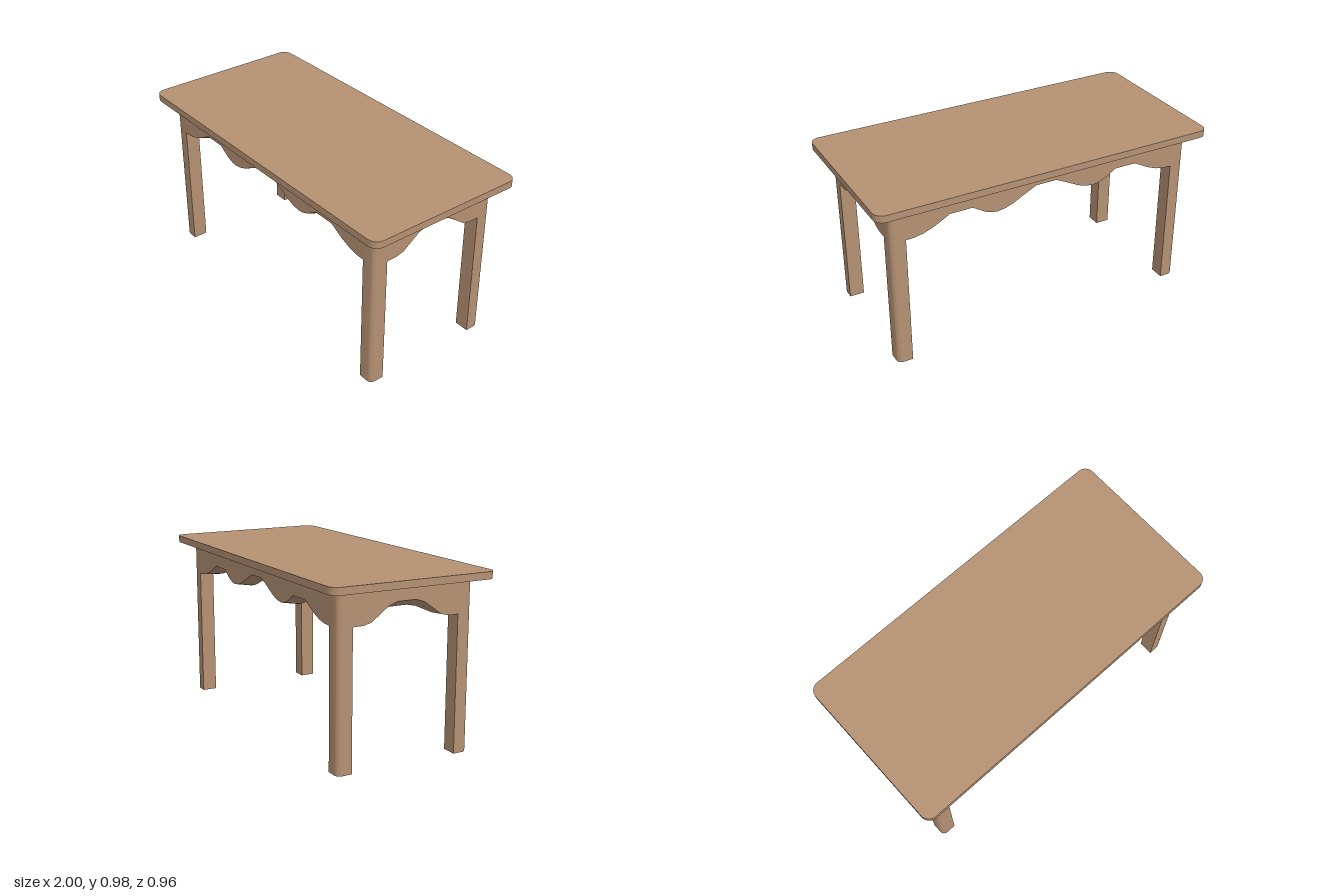
import * as THREE from 'three';
import { toCreasedNormals } from 'three/addons/utils/BufferGeometryUtils.js';

const UNDER = 0.942, TOP = 0.982;          // table top heights
const OX = 0.905, OZ = 0.397, LEG = 0.085; // outer frame half sizes, leg width

// Rectangle centred on the origin, with a radius per corner (++, -+, --, +-)
function roundedRect(w, h, [a, b, c, d]) {
  const x = w / 2, y = h / 2, s = new THREE.Shape();
  const arc = (cx, cy, r, start) => {
    if (r) s.absarc(cx, cy, r, start, start + Math.PI / 2, false);
    else s.lineTo(cx, cy);
  };
  s.moveTo(x, -y + d);
  arc(x - a, y - a, a, 0);
  arc(-x + b, y - b, b, Math.PI / 2);
  arc(-x + c, -y + c, c, Math.PI);
  arc(x - d, -y + d, d, Math.PI * 1.5);
  return s;
}

// Upright prism standing on y = 0
function prism(shape, height) {
  const g = new THREE.ExtrudeGeometry(shape, { depth: height, bevelEnabled: false, curveSegments: 8 });
  g.rotateX(-Math.PI / 2);
  return toCreasedNormals(g, 0.6);
}

// Scalloped apron along x, facing +z; half profile rows are [x, outer lower y, inner lower y]
function apron(half, outer) {
  const rows = [...half.map(([x, o, i]) => [-x, o, i]), ...[...half].reverse()];
  const inner = outer - LEG, pos = [], index = [];
  rows.forEach(([x, yo, yi], r) => {
    pos.push(x, UNDER, outer, x, yo, outer, x, yi, inner, x, UNDER, inner);
    if (r === rows.length - 1) return;
    for (let j = 0; j < 3; j++) {
      const a = r * 4 + j, b = a + 1;
      index.push(a, b, b + 4, a, b + 4, a + 4);
    }
  });
  const g = new THREE.BufferGeometry();
  g.setAttribute('position', new THREE.Float32BufferAttribute(pos, 3));
  g.setIndex(index);
  return toCreasedNormals(g, 0.6);
}

export function createModel() {
  const group = new THREE.Group();
  const wood = new THREE.MeshStandardMaterial({ color: 0xb59173 });
  wood.name = 'wood';
  const add = (name, geometry) => {
    const mesh = new THREE.Mesh(geometry, wood);
    mesh.name = name;
    group.add(mesh);
    return mesh;
  };

  // Table top with rounded corners
  add('tableTop', prism(roundedRect(2, 0.958, [0.055, 0.055, 0.055, 0.055]), TOP - UNDER)).position.y = UNDER;

  // Legs, rounded on the outer corner only
  const legGeometry = prism(roundedRect(LEG, LEG, [0.03, 0, 0, 0]), UNDER);
  [['backLeftLeg', 1, -1], ['backRightLeg', -1, -1], ['frontRightLeg', -1, 1], ['frontLeftLeg', 1, 1]]
    .forEach(([name, sx, sz], i) => {
      const leg = add(name, legGeometry);
      leg.position.set(sx * (OX - LEG / 2), 0, sz * (OZ - LEG / 2));
      leg.rotation.y = i * Math.PI / 2;
    });

  // Long aprons with three arches
  const long = apron([
    [0.82, 0.757, 0.757], [0.77, 0.759, 0.757], [0.72, 0.769, 0.762], [0.66, 0.792, 0.775],
    [0.57, 0.84, 0.802], [0.44, 0.84, 0.802], [0.37, 0.796, 0.776], [0.33, 0.781, 0.767],
    [0.295, 0.777, 0.765], [0.25, 0.783, 0.769], [0.2, 0.8, 0.78], [0.14, 0.832, 0.805],
    [0.06, 0.87, 0.839],
  ], OZ);
  add('frontApron', long);
  add('backApron', long).rotation.y = Math.PI;

  // Short aprons with one arch
  const short = apron([
    [0.312, 0.757, 0.757], [0.25, 0.758, 0.757], [0.207, 0.769, 0.761],
    [0.16, 0.803, 0.782], [0.105, 0.843, 0.806], [0.052, 0.86, 0.817],
  ], OX);
  add('leftApron', short).rotation.y = Math.PI / 2;
  add('rightApron', short).rotation.y = -Math.PI / 2;

  return group;
}
